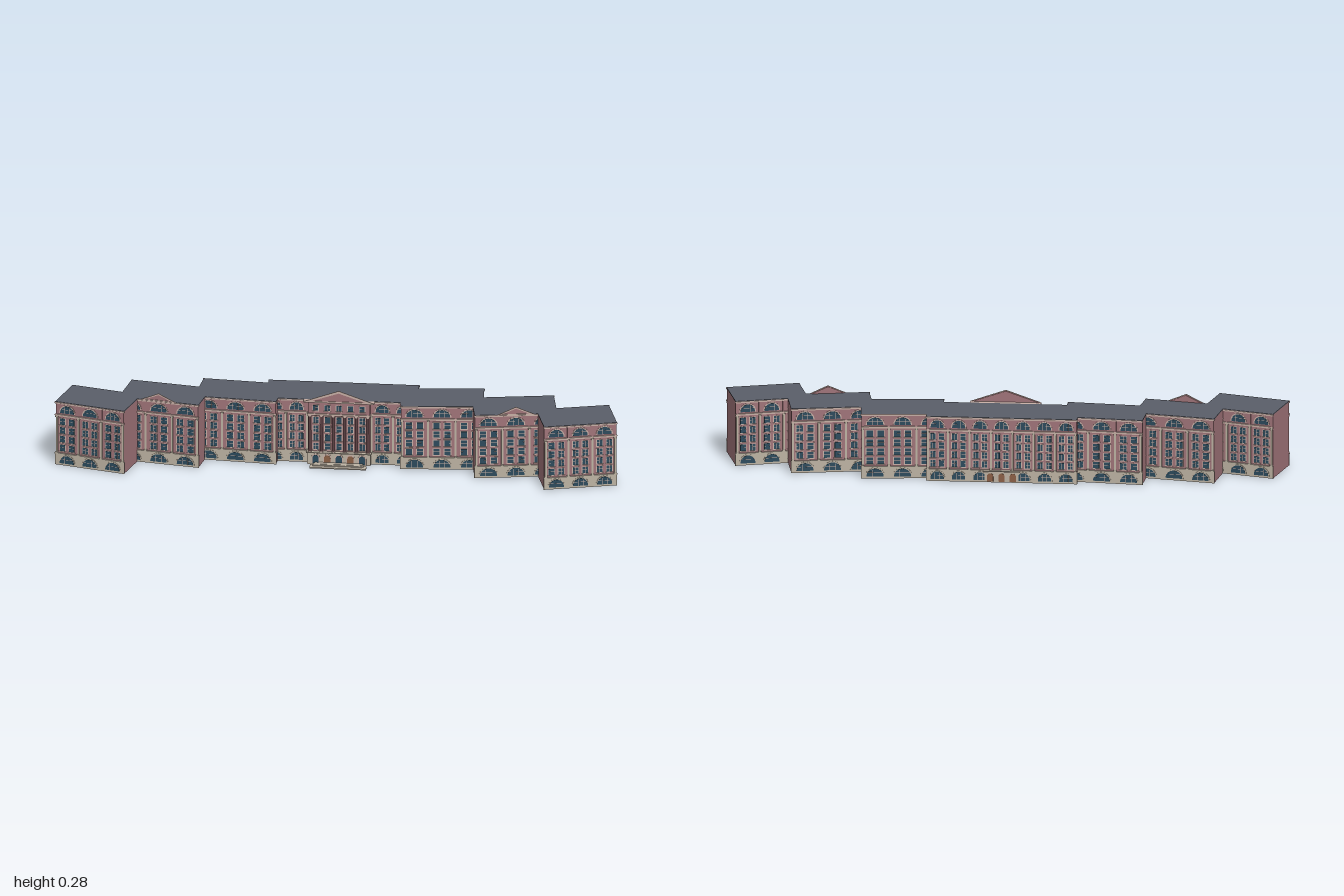
import * as THREE from 'three';
import { mergeGeometries } from 'three/addons/utils/BufferGeometryUtils.js';

const C = { brick: 0xa07479, stone: 0xbdb3a3, glass: 0x2b4a5c, roof: 0x5a5e69, trim: 0xc8b0a6, door: 0x8a5f45 };
const material = {};
for (const k in C) material[k] = new THREE.MeshStandardMaterial({ color: C[k], flatShading: true });

const TOP = 0.237, BASE = 0.045, BAND = 0.187;

// Box from its centre in x, its bottom in y and its back in z
const box = (w, h, d, x, y, z) => new THREE.BoxGeometry(w, h, d).translate(x, y + h / 2, z + d / 2).toNonIndexed();

// Upright panel with an arched head
function arch(w, h, d, x, y, z) {
  const r = w / 2, spring = Math.max(h - r, 0.001), s = new THREE.Shape();
  s.moveTo(-r, 0).lineTo(r, 0).lineTo(r, spring);
  s.absellipse(0, spring, r, h - spring, 0, Math.PI, false);
  s.lineTo(-r, 0);
  return new THREE.ExtrudeGeometry(s, { depth: d, bevelEnabled: false, curveSegments: 8 }).translate(x, y, z);
}

// Collects geometry by part name and makes one mesh for each part
function builder(groupName) {
  const parts = {};
  return {
    add(name, color, ...geos) { (parts[name] ??= { color, geos: [] }).geos.push(...geos); },
    build() {
      const g = new THREE.Group();
      g.name = groupName;
      for (const [name, p] of Object.entries(parts)) {
        const m = new THREE.Mesh(mergeGeometries(p.geos), material[p.color]);
        m.name = name;
        g.add(m);
      }
      return g;
    },
  };
}

// Framed window with a sill, a mullion and a crossbar
function sashWindow(b, x, y, w, h, z = 0) {
  b.add('windowFrames', 'trim', box(w + 0.005, h + 0.004, 0.001, x, y - 0.002, z), box(w + 0.007, 0.002, 0.004, x, y - 0.003, z),
    box(0.001, h, 0.0025, x, y, z), box(w, 0.001, 0.0025, x, y + h * 0.55, z));
  b.add('windowPanes', 'glass', box(w, h, 0.002, x, y, z));
}

function archWindow(b, x, y, w, h, z, frame) {
  b.add(frame === 'stone' ? 'baseArchSurrounds' : 'upperArchSurrounds', frame, arch(w + 0.008, h + 0.004, 0.0015, x, y, z));
  b.add('archPanes', 'glass', arch(w, h, 0.0025, x, y, z));
  for (const k of [-1, 1]) b.add('archMullions', 'trim', box(0.0012, h * 0.85, 0.003, x + k * w / 6, y, z));
  b.add('archMullions', 'trim', box(w, 0.0012, 0.003, x, y + h * 0.5, z));
}

// Facade in the plane z = 0, facing +z
function facade(width, bays, skipHalf = 0) {
  const b = builder('facade'), step = width / bays;
  b.add('stoneBase', 'stone', box(width + 0.004, BASE - 0.003, 0.003, 0, 0, 0));
  b.add('baseMoulding', 'stone', box(width + 0.006, 0.003, 0.006, 0, BASE - 0.003, 0));
  b.add('middleCornice', 'trim', box(width + 0.004, 0.004, 0.006, 0, BAND, 0), box(width + 0.002, 0.003, 0.004, 0, BAND - 0.003, 0));
  b.add('topCornice', 'trim', box(width + 0.006, 0.0035, 0.007, 0, TOP - 0.004, 0), box(width + 0.003, 0.003, 0.004, 0, TOP - 0.007, 0));
  for (let i = 0; i <= bays; i++) {
    const x = THREE.MathUtils.clamp(-width / 2 + i * step, -width / 2 + 0.005, width / 2 - 0.005);
    if (Math.abs(x) < skipHalf) continue;
    b.add('pilasters', 'stone', box(0.007, BAND - BASE, 0.004, x, BASE, 0), box(0.01, 0.004, 0.006, x, BASE, 0), box(0.01, 0.005, 0.006, x, BAND - 0.008, 0));
    b.add('upperPilasters', 'brick', box(0.008, TOP - BAND - 0.008, 0.003, x, BAND + 0.003, 0));
  }
  for (let i = 0; i < bays; i++) {
    const x = -width / 2 + (i + 0.5) * step;
    if (Math.abs(x) < skipHalf) continue;
    archWindow(b, x, 0.008, step * 0.62, 0.028, 0.003, 'stone');
    archWindow(b, x, 0.196, step * 0.6, 0.027, 0, 'trim');
    for (let row = 0; row < 4; row++)
      for (const k of [-1, 1]) sashWindow(b, x + k * step * 0.2, 0.053 + row * 0.033, step * 0.23, 0.023);
  }
  return b.build();
}

// Triangular gable plate with a raised trim
function pediment(half, height, thick) {
  const b = builder('pediment');
  const tri = (w, h) => [new THREE.Vector2(-w, 0), new THREE.Vector2(w, 0), new THREE.Vector2(0, h)];
  const plate = new THREE.ExtrudeGeometry(new THREE.Shape(tri(half, height)), { depth: thick, bevelEnabled: false });
  const rim = new THREE.Shape(tri(half + 0.006, height + 0.003));
  rim.holes.push(new THREE.Path(tri(half * 0.8, height * 0.78).map(p => p.add(new THREE.Vector2(0, 0.003)))));
  b.add('gablePlate', 'brick', plate);
  b.add('gableTrim', 'trim', new THREE.ExtrudeGeometry(rim, { depth: 0.003, bevelEnabled: false }).translate(0, 0, thick - 0.0005));
  return b.build();
}

// Brick block with a flat roof and matching front and back facades
function block(name, width, depth, bays, skipHalf) {
  const b = builder(name);
  b.add('walls', 'brick', box(width, TOP - 0.002, depth, 0, 0, -depth / 2));
  b.add('flatRoof', 'roof', box(width + 0.002, 0.003, depth + 0.008, 0, TOP - 0.002, -depth / 2 - 0.004));
  const g = b.build();
  const front = facade(width, bays, skipHalf), back = facade(width, bays);
  front.name = 'frontFacade';
  back.name = 'backFacade';
  front.position.z = depth / 2;
  back.position.z = -depth / 2;
  back.rotation.y = Math.PI;
  g.add(front, back);
  return g;
}

// Central entrance front with columns, doors, gable and steps
function portico() {
  const b = builder('portico'), w = 0.22;
  b.add('porticoWall', 'brick', box(w, TOP - 0.001, 0.01, 0, 0, -0.008));
  b.add('porticoBase', 'stone', box(w + 0.004, BASE, 0.018, 0, 0, -0.006), box(w + 0.01, 0.003, 0.024, 0, BASE - 0.002, -0.006));
  b.add('entablature', 'trim', box(w + 0.006, 0.007, 0.02, 0, BAND - 0.003, -0.006), box(w + 0.03, 0.004, 0.025, 0, TOP - 0.003, -0.007));
  b.add('porticoAttic', 'brick', box(w, TOP - BAND - 0.006, 0.016, 0, BAND + 0.003, -0.006));
  for (let i = 0; i < 6; i++) {
    const x = (i - 2.5) * 0.041;
    b.add('columns', 'brick', new THREE.CylinderGeometry(0.0045, 0.005, BAND - BASE, 10).translate(x, (BAND + BASE) / 2, 0.008).toNonIndexed());
    b.add('columnBlocks', 'trim', box(0.012, 0.004, 0.012, x, BASE, 0.002), box(0.012, 0.005, 0.012, x, BAND - 0.008, 0.002));
    if (i === 5) break;
    const c = x + 0.0205;
    for (let row = 0; row < 4; row++) sashWindow(b, c, 0.053 + row * 0.033, 0.018, 0.023, 0.002);
    sashWindow(b, c, 0.202, 0.018, 0.02, 0.01);
    b.add('doorSurrounds', 'trim', arch(0.03, 0.036, 0.0015, c, 0.004, 0.012));
    b.add(i % 2 ? 'doors' : 'entranceGlass', i % 2 ? 'door' : 'glass', arch(0.022, 0.031, 0.0025, c, 0.004, 0.012));
  }
  b.add('steps', 'stone', box(0.17, 0.008, 0.03, 0, 0, 0), box(0.2, 0.004, 0.03, 0, 0, 0.025), box(0.18, 0.007, 0.02, 0, 0, 0.02));
  const g = b.build(), gable = pediment(0.12, 0.041, 0.004);
  gable.position.set(0, TOP, 0.012);
  g.add(gable);
  return g;
}

// Small rear entrance under a slab canopy
function rearEntrance() {
  const b = builder('rearEntrance');
  b.add('rearPorch', 'stone', box(0.12, 0.036, 0.006, 0, 0.003, 0));
  b.add('rearCanopy', 'stone', box(0.13, 0.003, 0.014, 0, 0.042, 0));
  for (const x of [-0.04, 0, 0.04]) b.add('rearDoors', x ? 'door' : 'door', arch(0.022, 0.03, 0.0015, x, 0.004, 0.006));
  return b.build();
}

export function createModel() {
  const model = new THREE.Group();
  model.name = 'longBuilding';

  const centre = block('centralBlock', 0.53, 0.164, 7, 0.112);
  centre.position.z = -0.09;
  const rear = rearEntrance();
  rear.position.z = -0.172;
  rear.rotation.y = Math.PI;
  model.add(centre, portico(), rear);

  // Wings fan out on both sides: name, x, z, angle, width, depth, gabled
  const wings = [
    ['innerWing', 0.358, -0.068, 4.8, 0.29, 0.165, false],
    ['gabledWing', 0.617, -0.018, 10, 0.29, 0.162, true],
    ['endWing', 0.845, 0.06, 15.5, 0.258, 0.162, false],
  ];
  for (const side of [1, -1])
    for (const [name, x, z, angle, w, d, gabled] of wings) {
      const wing = block((side > 0 ? 'left ' : 'right ') + name, w, d, 3, 0);
      wing.position.set(side * x, 0, z);
      wing.rotation.y = side * THREE.MathUtils.degToRad(angle);
      if (gabled) {
        const gable = pediment(0.06, 0.026, 0.004);
        gable.position.set(0, TOP, d / 2);
        wing.add(gable);
      }
      model.add(wing);
    }
  return model;
}
